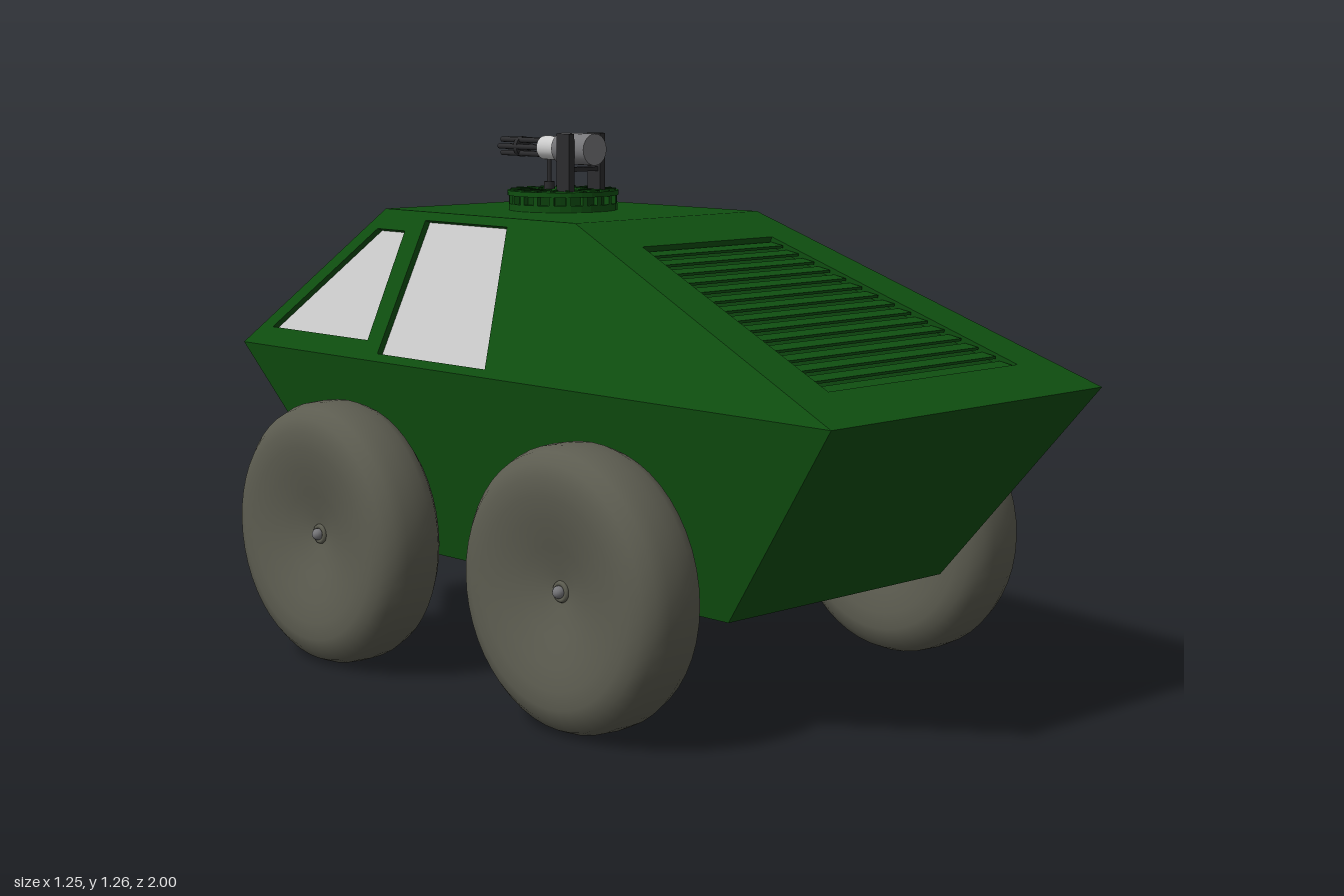
import * as THREE from 'three';
import { mergeGeometries } from 'three/addons/utils/BufferGeometryUtils.js';

const mat = (color, opts = {}) => {
  const m = new THREE.MeshStandardMaterial(opts);
  m.color.set(color);
  return m;
};
const green = mat(0x0f4f10, { flatShading: true });
const darkGreen = mat(0x0b400c, { flatShading: true });
const rubber = mat(0x5c5c50);
const steel = mat(0xcccccc);
const gunGrey = mat(0x77777a);
const gunDark = mat(0x2c2c2e);
const clearGlass = mat(0xcccccc, { side: THREE.DoubleSide });
const oliveGlass = mat(0x3a6a1c, { side: THREE.DoubleSide });
const paleGlass = mat(0x55753f, { side: THREE.DoubleSide });

const V = (x, y, z) => new THREE.Vector3(x, y, z);

function add(parent, name, geometry, material, x = 0, y = 0, z = 0) {
  const m = new THREE.Mesh(geometry, material);
  m.name = name;
  m.position.set(x, y, z);
  parent.add(m);
  return m;
}

// Flat panel from 3D corners (counter-clockwise from outside) with sunken openings.
function panel(corners, holes = [], depth = 0.015) {
  const u = corners[1].clone().sub(corners[0]).normalize();
  const n = u.clone().cross(corners[corners.length - 1].clone().sub(corners[0])).normalize();
  const m = new THREE.Matrix4().makeBasis(u, n.clone().cross(u), n).setPosition(corners[0]);
  const inv = m.clone().invert();
  const flat = pts => pts.map(p => p.clone().applyMatrix4(inv)).map(p => new THREE.Vector2(p.x, p.y));
  const shape = new THREE.Shape(flat(corners));
  const frame = [], floors = [];
  for (const hole of holes) {
    const pts = flat(hole);
    if (THREE.ShapeUtils.area(pts) < 0) pts.reverse();
    shape.holes.push(new THREE.Path(pts));
    floors.push(new THREE.ShapeGeometry(new THREE.Shape(pts)).translate(0, 0, -depth).applyMatrix4(m));
    // walls of the opening
    pts.forEach((a, i) => {
      const b = pts[(i + 1) % pts.length];
      const wall = [V(b.x, b.y, -depth), V(a.x, a.y, -depth), V(a.x, a.y, 0), V(b.x, b.y, 0)];
      frame.push(panel(wall).frame.applyMatrix4(m));
    });
  }
  frame.push(new THREE.ShapeGeometry(shape).applyMatrix4(m));
  return { frame: mergeGeometries(frame), floors };
}

// Hull levels: half width, height, front z, rear z
const BOTTOM = [0.35, 0.26, 0.63, -0.63];
const BELT = [0.445, 0.725, 1, -1];
const ROOF = [0.295, 1.075, 0.09, -0.6];
const rise = y => (y - BELT[1]) / (ROOF[1] - BELT[1]);
const sideX = y => BELT[0] + rise(y) * (ROOF[0] - BELT[0]);
const deckZ = y => BELT[2] + rise(y) * (ROOF[2] - BELT[2]);
const rearZ = y => BELT[3] + rise(y) * (ROOF[3] - BELT[3]);

function buildHull() {
  const g = new THREE.Group();
  g.name = 'hull';
  const frames = [];
  const corner = ([w, y, f, r], sx, front) => V(sx * w, y, front ? f : r);
  const end = (lo, hi, front) => {
    const s = front ? 1 : -1;
    return [corner(lo, -s, front), corner(lo, s, front), corner(hi, s, front), corner(hi, -s, front)];
  };
  const side = (lo, hi, s) => {
    const c = [corner(lo, s, true), corner(lo, s, false), corner(hi, s, false), corner(hi, s, true)];
    return s > 0 ? c : c.reverse();
  };

  // sloped nose, tail, roof and floor
  frames.push(panel(end(BOTTOM, BELT, true)).frame, panel(end(BOTTOM, BELT, false)).frame);
  const cap = l => [corner(l, -1, true), corner(l, 1, true), corner(l, 1, false), corner(l, -1, false)];
  frames.push(panel(cap(ROOF)).frame, panel(cap(BOTTOM).reverse()).frame);

  // sides with two windows each
  for (const s of [1, -1]) {
    frames.push(panel(side(BOTTOM, BELT, s)).frame);
    const win = list => list.map(([z, y]) => V(s * sideX(y), y, z));
    const doorWindow = win([[-0.06, 0.743], [-0.457, 0.743], [-0.435, 1.055], [-0.135, 1.055]]);
    const rearWindow = win([[-0.51, 0.77], [-0.9, 0.77], [-0.607, 1.027], [-0.5, 1.027]]);
    const p = panel(side(BELT, ROOF, s), [doorWindow, rearWindow]);
    frames.push(p.frame);
    const tag = s > 0 ? 'left' : 'right';
    add(g, tag + 'DoorWindow', p.floors[0], s > 0 ? oliveGlass : clearGlass);
    add(g, tag + 'RearWindow', p.floors[1], s > 0 ? paleGlass : clearGlass);
  }

  // large sloped window at the tail
  const rw = [[-0.385, 0.75], [0.385, 0.75], [0.255, 1.05], [-0.255, 1.05]].map(([x, y]) => V(x, y, rearZ(y)));
  const tail = panel(end(BELT, ROOF, false), [rw]);
  frames.push(tail.frame);
  add(g, 'tailWindow', tail.floors[0], clearGlass);

  // sloped deck with louvred grille
  const gr = [[-0.31, 0.775], [0.31, 0.775], [0.21, 1.025], [-0.21, 1.025]].map(([x, y]) => V(x, y, deckZ(y)));
  const deck = panel(end(BELT, ROOF, true), [gr], 0.022);
  frames.push(deck.frame);
  add(g, 'grilleFloor', deck.floors[0], darkGreen);
  const count = 15;
  for (let i = 0; i < count; i++) {
    const t = (i + 0.5) / count;
    const y = 0.775 + 0.25 * t;
    const slat = add(g, 'grilleSlat', new THREE.BoxGeometry(0.61 - 0.2 * t, 0.006, 0.038), green, 0, y - 0.01, deckZ(y) - 0.003);
    slat.rotation.x = 0.16;
  }
  add(g, 'hullShell', mergeGeometries(frames), green);
  return g;
}

// Fat balloon tyre with dished sides
function buildWheel() {
  const g = new THREE.Group();
  g.name = 'wheel';
  const half = [[0, 0.05], [0.04, 0.054], [0.1, 0.071], [0.16, 0.086], [0.21, 0.094], [0.25, 0.094],
    [0.28, 0.084], [0.302, 0.063], [0.313, 0.035]];
  const pts = [...half.map(([r, h]) => [r, -h]), [0.315, 0], ...half.slice().reverse()];
  const tyre = new THREE.LatheGeometry(pts.map(p => new THREE.Vector2(...p)), 48).rotateZ(-Math.PI / 2);
  add(g, 'tyre', tyre, rubber);
  for (const s of [1, -1]) {
    add(g, 'hubRing', new THREE.TorusGeometry(0.018, 0.006, 8, 20).rotateY(Math.PI / 2), rubber, s * 0.053);
    add(g, 'hubCap', new THREE.SphereGeometry(0.014, 14, 10), gunGrey, s * 0.06);
  }
  return g;
}

function buildTurret() {
  const g = new THREE.Group();
  g.name = 'turret';
  g.position.set(0, 1.075, -0.28);
  const cyl = (r, h, seg = 32) => new THREE.CylinderGeometry(r, r, h, seg);
  const rod = (r, len, seg = 20) => cyl(r, len, seg).rotateX(Math.PI / 2);

  // toothed turntable
  add(g, 'turntableBase', cyl(0.132, 0.016), green, 0, 0.008);
  add(g, 'turntableDrum', cyl(0.118, 0.04), darkGreen, 0, 0.022);
  add(g, 'turntableTop', cyl(0.135, 0.012), green, 0, 0.042);
  for (let i = 0; i < 20; i++) {
    const a = (i / 20) * Math.PI * 2;
    const tooth = add(g, 'turntableTooth', new THREE.BoxGeometry(0.018, 0.03, 0.012), green,
      Math.cos(a) * 0.122, 0.024, -Math.sin(a) * 0.122);
    tooth.rotation.y = a;
    const rib = add(g, 'turntableRib', new THREE.BoxGeometry(0.07, 0.005, 0.008), darkGreen,
      Math.cos(a) * 0.094, 0.049, -Math.sin(a) * 0.094);
    rib.rotation.y = a;
  }

  // gun cradle
  for (const s of [1, -1]) {
    add(g, 'cradlePost', new THREE.BoxGeometry(0.017, 0.14, 0.045), gunDark, s * 0.05, 0.116, 0.065);
  }
  add(g, 'cradleBar', new THREE.BoxGeometry(0.1, 0.01, 0.03), gunDark, 0, 0.1, 0.065);
  add(g, 'supportRod', cyl(0.006, 0.1, 10), gunDark, 0, 0.09, -0.05);
  add(g, 'supportFoot', cyl(0.013, 0.02, 12), gunDark, 0, 0.056, -0.05);

  // rotary gun pointing to the tail
  add(g, 'gunBody', rod(0.038, 0.115), gunGrey, 0, 0.148, 0.0575);
  add(g, 'trunnion', cyl(0.012, 0.09, 12).rotateZ(Math.PI / 2), gunDark, 0, 0.148, 0.065);
  add(g, 'gunCollar', rod(0.029, 0.065), steel, 0, 0.148, -0.032);
  for (let i = 0; i < 6; i++) {
    const a = (i / 6) * Math.PI * 2;
    add(g, 'barrel', rod(0.0065, 0.155, 10), gunDark, Math.cos(a) * 0.019, 0.148 + Math.sin(a) * 0.019, -0.137);
  }
  add(g, 'barrelClamp', rod(0.025, 0.012), gunDark, 0, 0.148, -0.15);
  return g;
}

export function createModel() {
  const model = new THREE.Group();
  model.name = 'armouredCar';
  model.add(buildHull(), buildTurret());

  // two axles, four wheels
  for (const z of [0.36, -0.5]) {
    add(model, 'axle', new THREE.CylinderGeometry(0.022, 0.022, 1.06, 20).rotateZ(Math.PI / 2), steel, 0, 0.32, z);
    for (const s of [1, -1]) {
      const wheel = buildWheel();
      wheel.position.set(s * 0.53, 0.32, z);
      model.add(wheel);
    }
  }
  return model;
}
